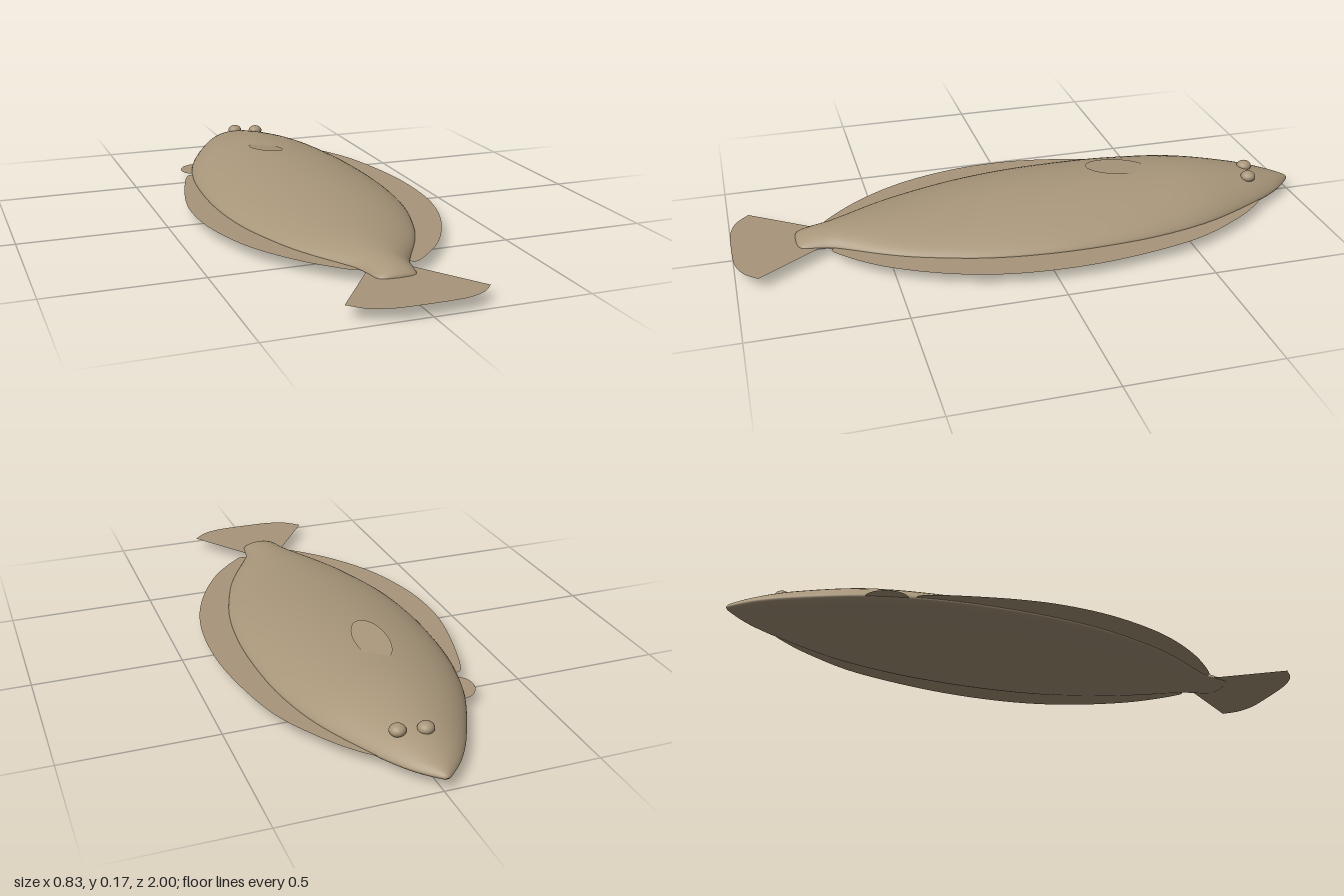
import * as THREE from 'three';

const MID = 0.043; // height of the fin plane

// Body stations from snout to tail root: z, half width, height above and depth below the fin plane
const STATIONS = [
  [-1, 0, 0, 0], [-0.985, 0.022, 0.013, 0.01], [-0.915, 0.086, 0.037, 0.022],
  [-0.8, 0.155, 0.067, 0.03], [-0.6, 0.246, 0.096, 0.038], [-0.4, 0.296, 0.1, 0.04],
  [-0.2, 0.315, 0.097, 0.04], [0, 0.314, 0.088, 0.036], [0.2, 0.288, 0.073, 0.031],
  [0.4, 0.228, 0.058, 0.024], [0.52, 0.174, 0.051, 0.02], [0.62, 0.116, 0.045, 0.016],
  [0.68, 0.084, 0.04, 0.014], [0.73, 0.072, 0.033, 0.011], [0.77, 0.064, 0.021, 0.007],
  [0.787, 0.045, 0.01, 0.004], [0.792, 0, 0, 0],
];

// Smooth loft: domed upper side, shallower elliptical belly
function bodyGeometry() {
  const along = 96, around = 48, positions = [], index = [];
  const curve = (k) => new THREE.CatmullRomCurve3(
    STATIONS.map((s) => new THREE.Vector3(s[0], s[1], s[k])), false, 'catmullrom');
  const back = curve(2), belly = curve(3);
  for (let i = 0; i <= along; i++) {
    const p = back.getPoint(i / along);
    const depth = belly.getPoint(i / along).z;
    for (let j = 0; j < around; j++) {
      const a = (j / around) * Math.PI * 2, s = Math.sin(a);
      const y = s > 0 ? p.z * Math.pow(s, 1.4) : depth * s;
      positions.push(-0.01 + p.y * Math.cos(a), MID + y, p.x);
      if (i === along) continue;
      const next = (j + 1) % around, r = i * around, q = r + around;
      index.push(r + j, r + next, q + j, r + next, q + next, q + j);
    }
  }
  const geometry = new THREE.BufferGeometry();
  geometry.setAttribute('position', new THREE.Float32BufferAttribute(positions, 3));
  geometry.setIndex(index);
  geometry.computeVertexNormals();
  return geometry;
}

// Flat fin: a smooth outer edge through [x, z] points, closed by straight lines inside the body
function finGeometry(edge, inner) {
  const shape = new THREE.Shape();
  shape.moveTo(...edge[0]);
  shape.splineThru(edge.slice(1).map((p) => new THREE.Vector2(...p)));
  inner.forEach((p) => shape.lineTo(...p));
  return new THREE.ShapeGeometry(shape, 8).rotateX(Math.PI / 2);
}

export function createModel() {
  const group = new THREE.Group();
  group.name = 'flatfish';
  const skin = new THREE.MeshStandardMaterial({ color: 0xa8967a, side: THREE.DoubleSide });
  skin.name = 'sandy skin';

  function add(name, geometry, x = 0, y = MID, z = 0) {
    const mesh = new THREE.Mesh(geometry, skin);
    mesh.name = name;
    mesh.position.set(x, y, z);
    group.add(mesh);
    return mesh;
  }

  add('body', bodyGeometry(), 0, 0, 0);

  // Long fringing fins along both sides
  add('leftFringeFin', finGeometry(
    [[0.105, -0.85], [0.17, -0.79], [0.25, -0.68], [0.34, -0.5], [0.395, -0.25], [0.41, -0.03],
      [0.39, 0.18], [0.33, 0.37], [0.23, 0.55], [0.11, 0.675], [0.075, 0.675]],
    [[0.04, 0.64], [0.15, 0.4], [0.22, 0], [0.2, -0.4], [0.08, -0.82]]));
  add('rightFringeFin', finGeometry(
    [[-0.285, -0.46], [-0.32, -0.44], [-0.36, -0.32], [-0.4, -0.15], [-0.415, 0], [-0.4, 0.18],
      [-0.34, 0.38], [-0.24, 0.55], [-0.12, 0.68], [-0.085, 0.68]],
    [[-0.06, 0.64], [-0.17, 0.4], [-0.24, 0], [-0.22, -0.4]]));

  // Fan-shaped tail
  add('tailFin', finGeometry(
    [[0.21, 0.93], [0.17, 0.97], [0.12, 0.992], [0.06, 1], [-0.08, 1], [-0.14, 0.992],
      [-0.19, 0.972], [-0.235, 0.93]],
    [[-0.075, 0.705], [0.055, 0.705]]));

  // Raised pectoral fin on the back, sloping up towards the tail
  const oval = new THREE.CircleGeometry(1, 40).rotateX(-Math.PI / 2);
  const upper = add('upperPectoralFin', oval, -0.043, 0.153, -0.345);
  upper.scale.set(0.055, 1, 0.116);
  upper.rotation.set(-0.125, 0, -0.07);

  // Matching pectoral fin at the edge of the blind side
  const lower = add('lowerPectoralFin', oval, -0.265, 0.04, -0.545);
  lower.scale.set(0.05, 1, 0.068);
  lower.rotation.y = -0.35;

  // Both eyes on the upper side
  const eye = new THREE.SphereGeometry(0.026, 24, 16);
  [['rightEye', -0.018, 0.107, -0.828], ['leftEye', 0.062, 0.104, -0.808]].forEach(([name, x, y, z]) => {
    add(name, eye, x, y, z).scale.y = 0.75;
  });

  return group;
}
